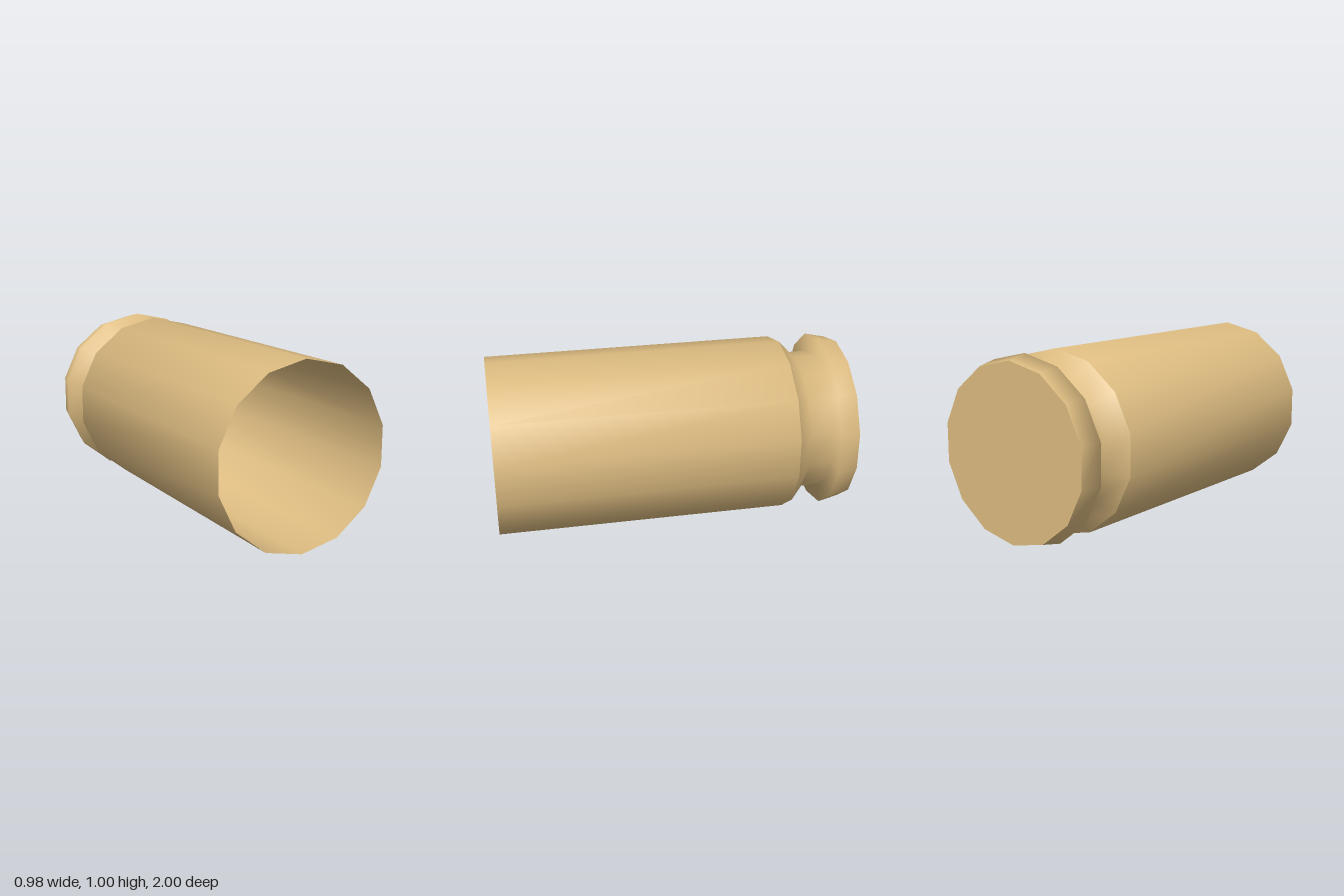
import * as THREE from 'three';

const SIDES = 14;
const R = 0.502; // body radius, also the height of the axis

export function createModel() {
  const model = new THREE.Group();
  model.name = 'casing';
  const brass = new THREE.MeshStandardMaterial({ color: 0xdcbb80, side: THREE.DoubleSide });
  brass.name = 'brass';

  // Turn a [radius, z] profile around the long axis; back-to-front faces outward
  function turned(name, profile) {
    const points = profile.map(([r, z]) => new THREE.Vector2(r, z));
    const geometry = new THREE.LatheGeometry(points, SIDES);
    geometry.normalizeNormals();
    geometry.rotateX(Math.PI / 2);
    geometry.translate(0, R, 0);
    const mesh = new THREE.Mesh(geometry, brass);
    mesh.name = name;
    model.add(mesh);
  }

  // Flat base
  turned('baseCap', [[0, -1], [0.477, -1]]);

  // Bevelled rim, groove and sloped shoulder in one smooth skin
  turned('rimAndShoulder', [[0.477, -1], [R, -0.885], [0.4, -0.885], [0.4, -0.75], [R, -0.655]]);

  // Thin open cup: the floor blends softly into the wall
  turned('body', [[0, -0.655], [R, -0.655], [R, 1]]);

  return model;
}
